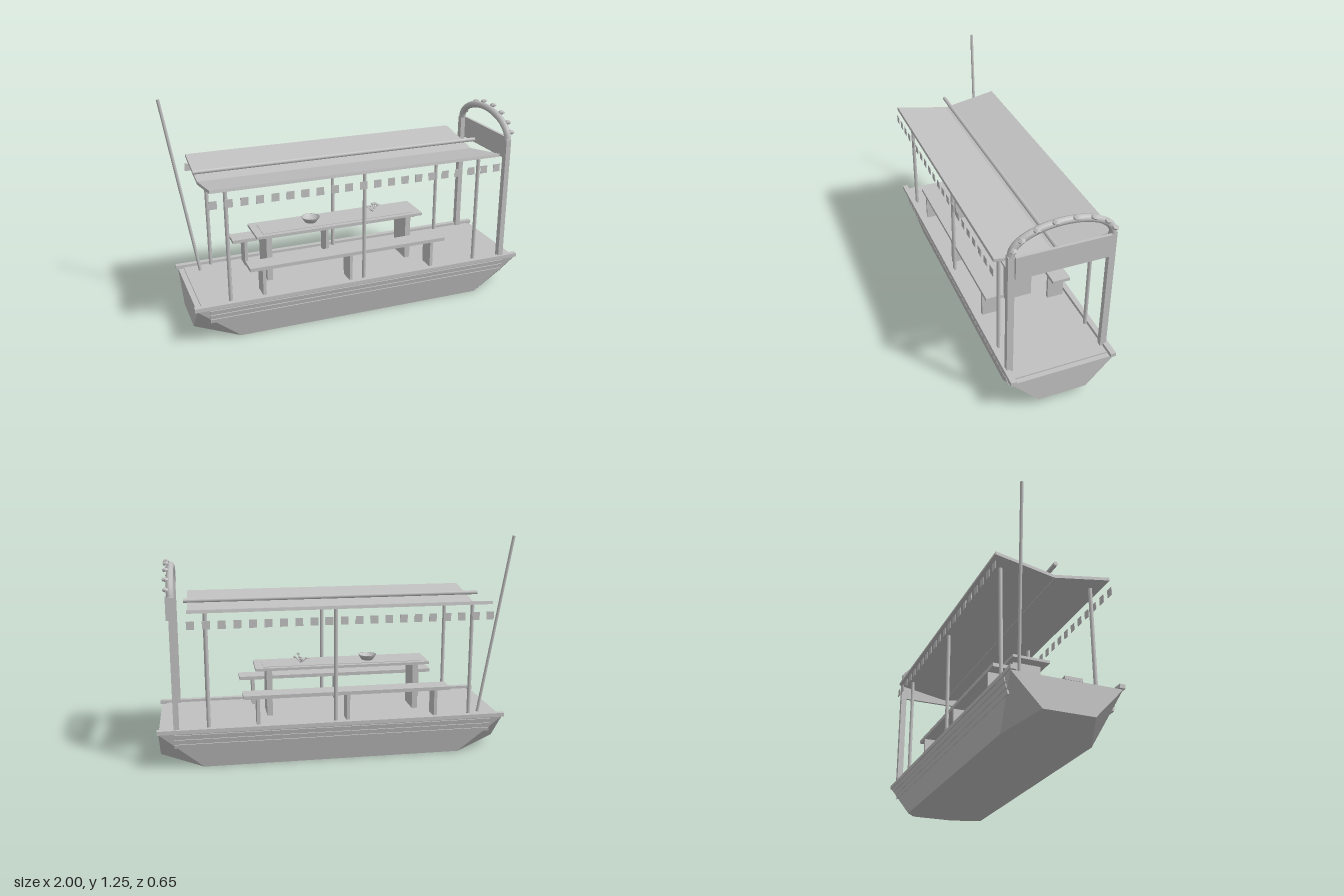
import * as THREE from 'three';
import { ConvexGeometry } from 'three/addons/geometries/ConvexGeometry.js';

export function createModel() {
  const model = new THREE.Group();
  const grey = new THREE.MeshStandardMaterial({ color: 0xc0c0c0, side: THREE.DoubleSide });
  grey.name = 'plain grey';

  const add = (name, geometry, x = 0, y = 0, z = 0) => {
    const mesh = new THREE.Mesh(geometry, grey);
    mesh.name = name;
    mesh.position.set(x, y, z);
    model.add(mesh);
    return mesh;
  };
  // Box given by its limits on each axis
  const slab = (name, x0, x1, y0, y1, z0, z1) =>
    add(name, new THREE.BoxGeometry(x1 - x0, y1 - y0, z1 - z0), (x0 + x1) / 2, (y0 + y1) / 2, (z0 + z1) / 2);
  // Round rod between two points
  const rod = (name, a, b, r, sides = 8) => {
    const dir = b.clone().sub(a);
    const mesh = add(name, new THREE.CylinderGeometry(r, r, dir.length(), sides));
    mesh.position.copy(a).add(b).multiplyScalar(0.5);
    mesh.quaternion.setFromUnitVectors(new THREE.Vector3(0, 1, 0), dir.normalize());
    return mesh;
  };
  const v = (x, y, z) => new THREE.Vector3(x, y, z);
  const sides = [1, -1];

  // Hull: flat bottom, flared sides and narrow raised ends
  const corners = [];
  for (const s of sides) {
    for (const [end, bottom] of [[-0.95, -0.71], [0.988, 0.75]]) {
      corners.push(v(bottom, 0, 0.24 * s), v(end, 0.05, 0.135 * s), v(end, 0.215, 0.29 * s));
    }
  }
  add('hull', new ConvexGeometry(corners));
  slab('deck', -0.92, 0.96, 0.21, 0.223, -0.262, 0.262);

  for (const s of sides) {
    // Gunwale rails and side planks
    add('gunwale', new THREE.BoxGeometry(1.96, 0.022, 0.03), 0.017, 0.226, 0.281 * s);
    for (const y of [0.139, 0.168, 0.197]) {
      const plank = add('sidePlank', new THREE.BoxGeometry(1.786, 0.022, 0.009), 0.013, y, (0.24 + 0.233 * y) * s);
      plank.rotation.x = 0.229 * s;
    }

    // Roof posts
    for (const x of [-0.76, 0.013, 0.717]) {
      rod('roofPost', v(x, 0.22, 0.255 * s), v(x, 0.87, 0.255 * s), 0.011);
    }

    // Roof half, sloping down to the middle
    const roof = add('roofPanel', new THREE.BoxGeometry(1.667, 0.017, 0.325), -0.02, 0.86, 0.16 * s);
    roof.rotation.x = -0.183 * s;

    // Row of small hanging flags
    for (let i = 0; i < 21; i++) {
      add('hangingFlag', new THREE.BoxGeometry(0.042, 0.044, 0.003), -0.84 + i * 0.0818, 0.818, 0.323 * s);
    }

    // Bench
    const bench = 0.198 * s;
    add('benchSeat', new THREE.BoxGeometry(1.17, 0.02, 0.103), -0.06, 0.387, bench);
    for (const x of [-0.567, -0.061, 0.444]) {
      add('benchLeg', new THREE.BoxGeometry(0.018, 0.16, 0.095), x, 0.3, bench);
    }

    // Arch post
    add('archPost', new THREE.BoxGeometry(0.03, 0.74, 0.035), 0.892, 0.59, 0.267 * s);
  }
  rod('roofPole', v(-0.875, 0.893, 0), v(0.833, 0.893, 0), 0.012);

  // Table
  slab('tableTop', -0.564, 0.446, 0.495, 0.51, -0.105, 0.105);
  slab('tableRunner', -0.52, 0.4, 0.509, 0.513, -0.078, 0.078);
  for (const x of [-0.489, 0.366]) slab('tableLeg', x - 0.016, x + 0.016, 0.22, 0.496, -0.079, 0.079);

  // Bowl
  const bowl = [[0, 0.513], [0.033, 0.513], [0.053, 0.543], [0.047, 0.543], [0.03, 0.52], [0, 0.52]];
  add('bowl', new THREE.LatheGeometry(bowl.map(([r, y]) => new THREE.Vector2(r, y)), 16), -0.217, 0, 0);

  // Sprig of small flowers on the table
  const sprig = [[0.145, 0.543, -0.035], [0.172, 0.538, -0.04], [0.19, 0.566, -0.006],
    [0.212, 0.55, -0.018], [0.168, 0.53, 0.0], [0.185, 0.552, -0.036]];
  for (const [x, y, z] of sprig) {
    const flower = add('tableFlower', new THREE.IcosahedronGeometry(0.012, 0), x, y, z);
    flower.scale.y = 0.6;
    rod('flowerStem', v(0.178, 0.513, -0.015), v(x, y, z), 0.0018, 5);
  }

  // Arch with board and flowers
  slab('archBoard', 0.906, 0.922, 0.832, 0.961, -0.251, 0.251);
  const archPoints = [];
  for (let i = 0; i <= 16; i++) {
    const t = (Math.PI * i) / 16;
    archPoints.push(v(0.893, 0.96 + 0.13 * Math.sin(t), 0.266 * Math.cos(t)));
  }
  add('arch', new THREE.TubeGeometry(new THREE.CatmullRomCurve3(archPoints), 24, 0.02, 8));
  for (const s of sides) {
    for (const [z, y] of [[0.262, 1.0], [0.221, 1.048], [0.147, 1.088], [0.053, 1.109]]) {
      const flower = add('archFlower', new THREE.IcosahedronGeometry(0.02, 0), 0.916, y, z * s);
      flower.scale.y = 0.65;
      flower.rotation.x = z * s;
    }
  }

  // Punting pole leaning at the stern
  rod('puntPole', v(-0.835, 0.223, -0.197), v(-0.992, 1.246, -0.234), 0.009);

  return model;
}
